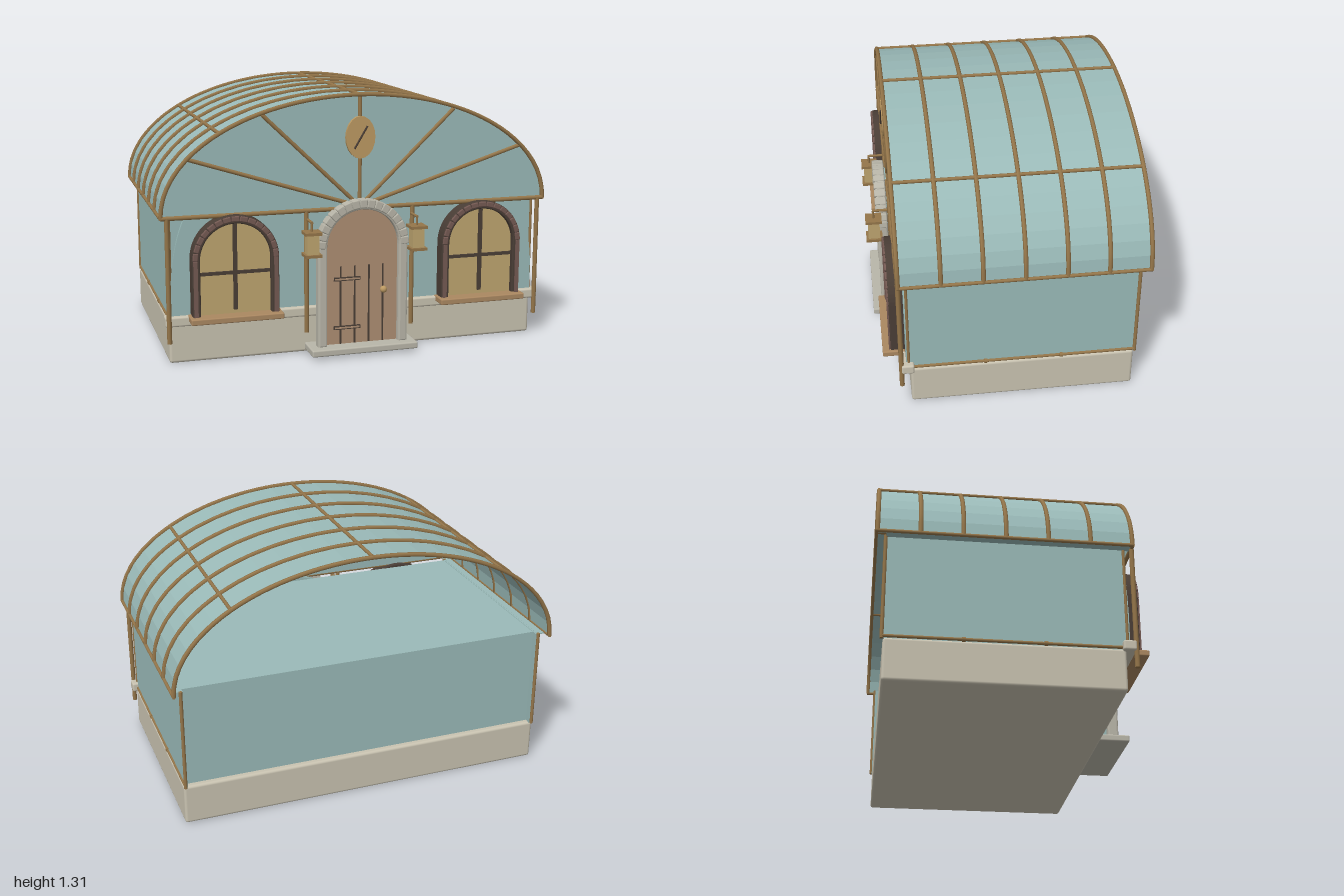
import * as THREE from 'three';
import { RoundedBoxGeometry } from 'three/addons/geometries/RoundedBoxGeometry.js';

const mat = (name, color, side = THREE.FrontSide) => {
  const m = new THREE.MeshStandardMaterial({ color, side });
  m.name = name;
  return m;
};

export function createModel() {
  const teal = mat('teal panel', 0x9abab8, THREE.DoubleSide);
  const stone = mat('foundation stone', 0xc9c3b1);
  const archStone = mat('arch stone', 0xb9b6a9);
  const bronze = mat('bronze trim', 0x95764a);
  const wood = mat('door wood', 0xae8f73);
  const glass = mat('amber glass', 0xbea570);
  const brass = mat('brass', 0xbd9a63);
  const dark = mat('dark iron', 0x4a3e36);
  const brick = mat('window brick', 0x755a53);
  const sillWood = mat('sill wood', 0xab8861);

  const model = new THREE.Group();
  model.name = 'vaultedHouse';

  const add = (parent, name, geo, material, x = 0, y = 0, z = 0) => {
    const m = new THREE.Mesh(geo, material);
    m.name = name;
    m.position.set(x, y, z);
    parent.add(m);
    return m;
  };
  // Box given by its limits on each axis, with rounded edges if r is set
  const box = (parent, name, material, x0, x1, y0, y1, z0, z1, r = 0) => {
    const size = [x1 - x0, y1 - y0, z1 - z0];
    const geo = r ? new RoundedBoxGeometry(...size, 2, r) : new THREE.BoxGeometry(...size);
    return add(parent, name, geo, material, (x0 + x1) / 2, (y0 + y1) / 2, (z0 + z1) / 2);
  };
  // Round bar between two points
  const bar = (parent, name, material, a, b, r = 0.011) => {
    const p = new THREE.Vector3(...a), q = new THREE.Vector3(...b);
    const d = q.clone().sub(p);
    const m = add(parent, name, new THREE.CylinderGeometry(r, r, d.length(), 8), material);
    m.position.copy(p).add(q).multiplyScalar(0.5);
    m.quaternion.setFromUnitVectors(new THREE.Vector3(0, 1, 0), d.normalize());
    return m;
  };
  // Round-headed outline: half width w, from y0 up to the spring line, then a half circle
  const outline = (w, y0, spring) => {
    const s = new THREE.Shape();
    s.moveTo(-w, y0);
    s.lineTo(w, y0);
    s.lineTo(w, spring);
    s.absarc(0, spring, w, 0, Math.PI, false);
    s.closePath();
    return s;
  };
  const extrude = (shape, z0, z1, bevel = 0) => new THREE.ExtrudeGeometry(shape, {
    depth: z1 - z0 - 2 * bevel, curveSegments: 16, bevelEnabled: bevel > 0,
    bevelThickness: bevel, bevelSize: bevel, bevelOffset: -bevel, bevelSegments: 2,
  }).translate(0, 0, z0 + bevel);
  // Arched surround, open at the foot
  const archFrame = (wOut, wIn, y0, spring, z0, z1, bevel) => {
    const s = new THREE.Shape();
    s.moveTo(wIn, y0);
    s.lineTo(wOut, y0);
    s.lineTo(wOut, spring);
    s.absarc(0, spring, wOut, 0, Math.PI, false);
    s.lineTo(-wOut, y0);
    s.lineTo(-wIn, y0);
    s.lineTo(-wIn, spring);
    s.absarc(0, spring, wIn, Math.PI, 0, true);
    s.closePath();
    return extrude(s, z0, z1, bevel);
  };
  // Blocks laid round an arch
  const archBlocks = (parent, name, material, count, r, height, spring, z0, z1) => {
    for (let i = 0; i < count; i++) {
      const a = (i + 0.5) * Math.PI / count;
      const geo = new RoundedBoxGeometry(height, r * Math.PI / count * 0.95, z1 - z0, 1, 0.005);
      add(parent, name, geo, material, r * Math.cos(a), spring + r * Math.sin(a), (z0 + z1) / 2).rotation.z = a;
    }
  };

  // Foundation and walls
  box(model, 'foundation', stone, -0.955, 0.955, 0.004, 0.212, -0.61, 0.5, 0.014);
  box(model, 'frontLedge', stone, -0.978, 0.978, 0.2, 0.25, 0.482, 0.545, 0.01);
  box(model, 'wallBlock', teal, -0.935, 0.935, 0.21, 0.733, -0.58, 0.5);
  const front = new THREE.Shape();
  front.moveTo(-0.945, 0.25);
  front.lineTo(0.945, 0.25);
  front.lineTo(0.945, 0.4);
  front.quadraticCurveTo(0.93, 0.6, 0.875, 0.725);
  front.lineTo(-0.875, 0.725);
  front.quadraticCurveTo(-0.93, 0.6, -0.945, 0.4);
  add(model, 'frontWall', extrude(front, 0.5, 0.52), teal);

  // Vaulted roof: a faceted half ellipse, open at the back
  const EAVE = 0.738, A = 0.989, B = 0.562;
  const vault = new THREE.CylinderGeometry(1, 1, 1.21, 24, 1, true, -Math.PI / 2, Math.PI)
    .rotateX(-Math.PI / 2).scale(A - 0.004, B - 0.004, 1).toNonIndexed();
  vault.computeVertexNormals();
  add(model, 'roofVault', vault, teal, 0, EAVE, -0.055);

  // Roof ribs and lengthwise purlins
  const ribPoints = [];
  for (let i = 0; i <= 24; i++) {
    const a = i * Math.PI / 24;
    ribPoints.push(new THREE.Vector3(A * Math.cos(a), B * Math.sin(a), 0));
  }
  const ribGeo = new THREE.TubeGeometry(new THREE.CatmullRomCurve3(ribPoints), 48, 0.011, 6);
  for (const z of [0.545, 0.345, 0.145, -0.055, -0.255, -0.455, -0.655]) {
    add(model, 'roofRib', ribGeo, bronze, 0, EAVE, z);
  }
  for (const x of [-A, -0.7, 0, 0.7, A]) {
    const y = EAVE + B * Math.sqrt(1 - (x / A) ** 2);
    bar(model, 'roofPurlin', bronze, [x, y, 0.55], [x, y, -0.662], 0.009);
  }

  // Front gable with fanned bars
  const gable = new THREE.Shape();
  gable.absellipse(0, 0, A - 0.005, B - 0.005, 0, Math.PI, false);
  gable.closePath();
  add(model, 'gable', new THREE.ShapeGeometry(gable, 24), teal, 0, EAVE, 0.535);
  bar(model, 'gableBeam', bronze, [-A, EAVE, 0.545], [A, EAVE, 0.545]);
  for (const [x, y] of [[-0.85, 1.015], [-0.49, 1.215], [0, 1.295], [0.49, 1.215], [0.85, 1.015]]) {
    bar(model, 'gableBar', bronze, [0, 0.745, 0.54], [x, y, 0.54], 0.01);
  }

  // Oval plaque
  const plaque = new THREE.Group();
  plaque.name = 'plaque';
  plaque.position.set(0, 1.09, 0.546);
  model.add(plaque);
  add(plaque, 'plaqueDisc', new THREE.CylinderGeometry(1, 1, 0.018, 20).rotateX(Math.PI / 2).scale(0.075, 0.105, 1), brass);
  bar(plaque, 'plaqueNeedle', dark, [-0.033, -0.055, 0.012], [0.033, 0.055, 0.012], 0.005);

  // Side panels, posts, corner trim and side sills
  for (const s of [-1, 1]) {
    const panel = box(model, 'sidePanel', teal, -0.006, 0.006, 0.21, 0.735, -0.612, 0.5);
    panel.position.x = s * 0.941;
    const soffit = box(model, 'eaveSoffit', teal, -0.022, 0.022, 0.73, 0.736, -0.612, 0.535);
    soffit.position.x = s * 0.965;
    bar(model, 'frontPost', bronze, [s * 0.96, 0.12, 0.545], [s * 0.96, EAVE, 0.545], 0.012);
    bar(model, 'doorPost', bronze, [s * 0.275, 0.12, 0.545], [s * 0.275, EAVE, 0.545], 0.012);
    bar(model, 'frontCornerTrim', bronze, [s * 0.945, 0.22, 0.508], [s * 0.945, EAVE, 0.508], 0.007);
    bar(model, 'backCornerTrim', bronze, [s * 0.947, 0.21, -0.615], [s * 0.947, EAVE, -0.615], 0.009);
    bar(model, 'sideSill', bronze, [s * 0.948, 0.222, 0.5], [s * 0.948, 0.222, -0.62], 0.008);
    for (const z of [0.13, -0.245]) {
      bar(model, 'sillClamp', bronze, [s * 0.948, 0.222, z - 0.008], [s * 0.948, 0.222, z + 0.008], 0.012);
    }
  }

  // Door with stone arch and step
  const door = new THREE.Group();
  door.name = 'door';
  model.add(door);
  box(door, 'doorStep', archStone, -0.275, 0.275, 0.02, 0.055, 0.5, 0.658, 0.008);
  add(door, 'doorBacking', extrude(outline(0.2, 0.05, 0.555), 0.5, 0.556), teal);
  add(door, 'doorLeaf', extrude(outline(0.188, 0.05, 0.555), 0.55, 0.58), wood);
  add(door, 'doorArch', archFrame(0.233, 0.185, 0.05, 0.555, 0.556, 0.612, 0.01), archStone);
  archBlocks(door, 'archBlock', archStone, 17, 0.215, 0.042, 0.555, 0.558, 0.617);
  for (const x of [-0.11, -0.037, 0.037, 0.11]) {
    box(door, 'plankSeam', dark, x - 0.004, x + 0.004, 0.056, 0.455, 0.579, 0.584);
  }
  for (const y of [0.14, 0.39]) {
    box(door, 'hinge', dark, -0.145, -0.008, y - 0.009, y + 0.009, 0.579, 0.588);
    box(door, 'hingeStrap', wood, -0.14, -0.013, y - 0.004, y + 0.004, 0.584, 0.59);
  }
  add(door, 'doorKnob', new THREE.SphereGeometry(0.018, 12, 8), brass, 0.11, 0.325, 0.595);

  // Windows and lanterns, one of each per side
  for (const s of [-1, 1]) {
    const win = new THREE.Group();
    win.name = s > 0 ? 'leftWindow' : 'rightWindow';
    win.position.x = s * 0.637;
    model.add(win);
    add(win, 'pane', extrude(outline(0.185, 0.25, 0.53), 0.515, 0.562), glass);
    add(win, 'outerFrame', archFrame(0.214, 0.174, 0.25, 0.53, 0.515, 0.59, 0.006), dark);
    archBlocks(win, 'archBrick', brick, 15, 0.198, 0.026, 0.53, 0.555, 0.598);
    for (const x of [-0.198, 0.198]) {
      box(win, 'jamb', brick, x - 0.01, x + 0.01, 0.255, 0.53, 0.555, 0.598);
    }
    box(win, 'verticalMullion', dark, -0.01, 0.01, 0.275, 0.7, 0.56, 0.572);
    box(win, 'crossMullion', dark, -0.178, 0.178, 0.452, 0.468, 0.56, 0.572);
    box(win, 'windowSill', sillWood, -0.228, 0.228, 0.225, 0.255, 0.52, 0.63, 0.006);

    const lantern = new THREE.Group();
    lantern.name = s > 0 ? 'leftLantern' : 'rightLantern';
    lantern.position.x = s * 0.27;
    model.add(lantern);
    box(lantern, 'lanternBody', glass, -0.03, 0.03, 0.54, 0.645, 0.6, 0.66);
    for (const y of [0.535, 0.645]) {
      box(lantern, 'lanternCap', bronze, -0.042, 0.042, y - 0.007, y + 0.007, 0.588, 0.672);
    }
    bar(lantern, 'lanternBracket', bronze, [0, 0.695, 0.545], [0, 0.695, 0.635], 0.007);
    bar(lantern, 'lanternHanger', bronze, [0, 0.695, 0.63], [0, 0.645, 0.63], 0.006);
  }

  return model;
}
